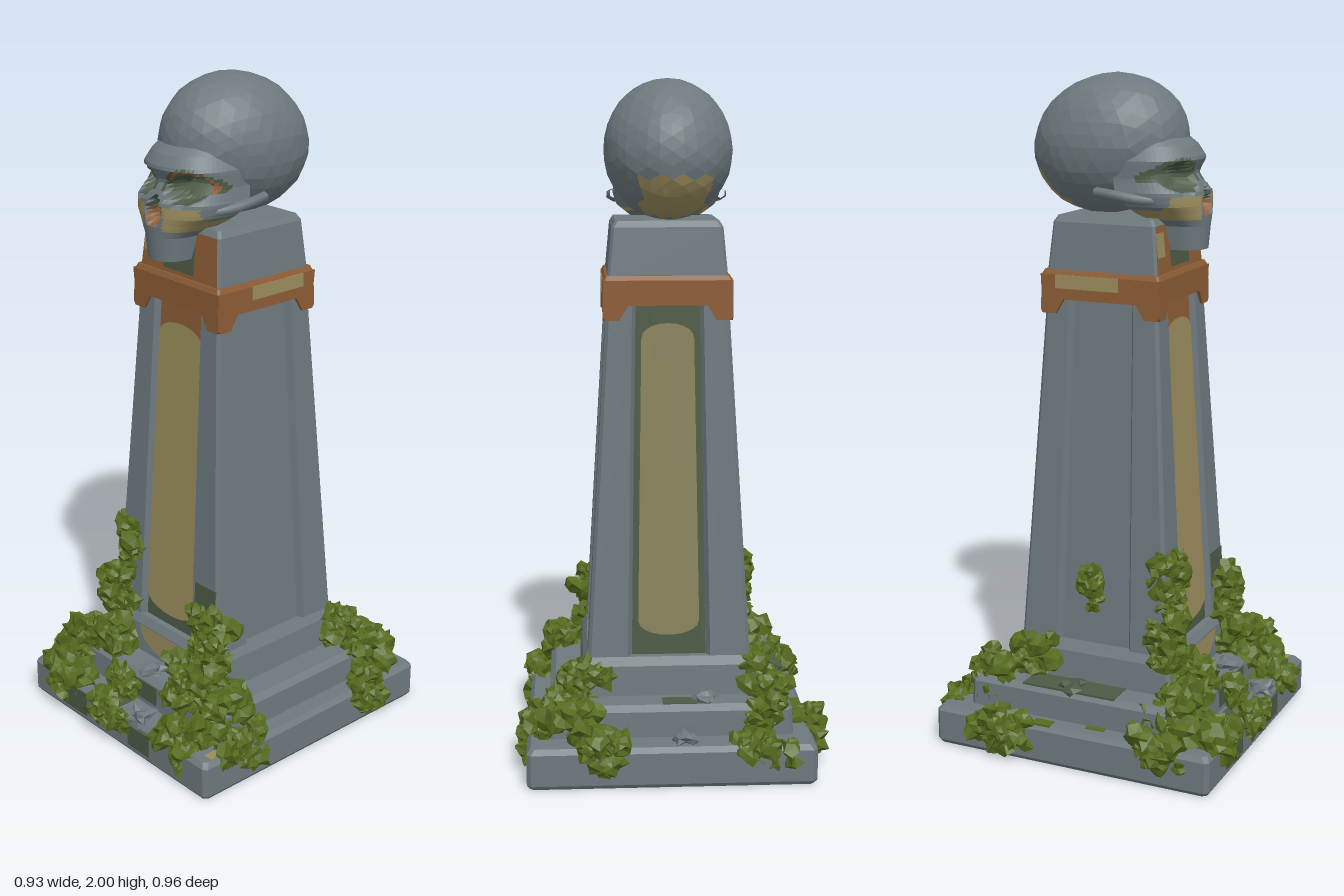
import * as THREE from 'three';
import { mergeGeometries } from 'three/addons/utils/BufferGeometryUtils.js';

const material = (name, color) => {
  const m = new THREE.MeshStandardMaterial({ color });
  m.name = name;
  return m;
};

// Repeatable noise: by position, and as a running sequence
const hash = (x, y, z) => {
  const s = Math.sin(Math.round(x * 1000) * 12.9 + Math.round(y * 1000) * 78.2 + Math.round(z * 1000) * 37.7) * 43758.5;
  return s - Math.floor(s);
};
let seed = 7;
const rnd = () => (seed = (seed * 16807) % 2147483647) / 2147483647;

// Linear look-up in a short table of [key, value]
function lookup(table, k) {
  for (let i = 1; i < table.length; i++) {
    const [a, va] = table[i - 1], [b, vb] = table[i];
    if (k <= b) return va + (vb - va) * Math.max(0, (k - a) / (b - a));
  }
  return table[table.length - 1][1];
}

// Skin closed rings, bottom to top, with flat facets
function loft(rings) {
  const pos = [], n = rings[0].length;
  for (let i = 0; i + 1 < rings.length; i++) for (let j = 0; j < n; j++) {
    const k = (j + 1) % n;
    const a = rings[i][j], b = rings[i][k], c = rings[i + 1][k], d = rings[i + 1][j];
    pos.push(...a, ...b, ...c, ...a, ...c, ...d);
  }
  const g = new THREE.BufferGeometry();
  g.setAttribute('position', new THREE.Float32BufferAttribute(pos, 3));
  g.computeVertexNormals();
  return g;
}
const capRing = (ring, z = 0) => ring.map((p) => [0, p[1], z]);

// Chamfered rectangular block from sections [y, halfX, halfZ]
function block(sections, c) {
  const rings = sections.map(([y, x, z = x]) => [[-x, z - c], [c - x, z], [x - c, z], [x, z - c],
    [x, c - z], [x - c, -z], [c - x, -z], [-x, c - z]].map(([px, pz]) => [px, y, pz]));
  return loft([capRing(rings[0]), ...rings, capRing(rings[rings.length - 1])]);
}

// Sort facets into material groups by their centre
function paint(geo, pick, count) {
  const p = geo.attributes.position.array, bins = Array.from({ length: count }, () => []);
  for (let i = 0; i < p.length; i += 9) {
    const mid = [0, 1, 2].map((k) => (p[i + k] + p[i + 3 + k] + p[i + 6 + k]) / 3);
    bins[pick(...mid)].push(...p.slice(i, i + 9));
  }
  const out = new THREE.BufferGeometry();
  out.setAttribute('position', new THREE.Float32BufferAttribute(bins.flat(), 3));
  let start = 0;
  bins.forEach((b, i) => { out.addGroup(start, b.length / 3, i); start += b.length / 3; });
  out.computeVertexNormals();
  return out;
}

// Jagged lump
function lump(x, y, z, r, flat = 1) {
  const g = new THREE.IcosahedronGeometry(1, 1), p = g.attributes.position, s = rnd() * 9;
  for (let i = 0; i < p.count; i++) {
    const k = r * (0.5 + 0.95 * hash(p.getX(i) + s, p.getY(i), p.getZ(i)));
    p.setXYZ(i, THREE.MathUtils.clamp(x + p.getX(i) * k, -0.465, 0.465), Math.max(0.01, y + p.getY(i) * k * flat),
      THREE.MathUtils.clamp(z + p.getZ(i) * k, -0.485, 0.475));
  }
  g.computeVertexNormals();
  return g;
}

export function createModel() {
  seed = 7;
  const stone = material('stone', 0x6d797e), tan = material('tan', 0x9b8d5d), rust = material('rust', 0x8d5d36);
  const stain = material('stain', 0x4c5a45), moss = material('moss', 0x566a1e), dullTan = material('dullTan', 0x87825a);
  const paints = [stone, tan, rust, stain];
  const model = new THREE.Group(), pedestal = new THREE.Group();
  pedestal.name = 'pedestal';
  pedestal.position.set(0.007, 0, -0.008);
  model.add(pedestal);
  const add = (parent, name, geo, mat) => {
    const m = new THREE.Mesh(geo, mat);
    m.name = name;
    parent.add(m);
    return m;
  };

  // Stepped base
  add(pedestal, 'baseSlab', block([[0, 0.41, 0.437], [0.012, 0.418, 0.445], [0.105, 0.418, 0.445], [0.12, 0.406, 0.433]], 0.012), stone);
  add(pedestal, 'middleStep', block([[0.11, 0.357], [0.195, 0.354], [0.212, 0.337]], 0.012), stone);
  add(pedestal, 'plinth', block([[0.2, 0.262], [0.3, 0.254], [0.325, 0.24]], 0.012), stone);

  // Tapered shaft with a recess on each face
  const outer = (y) => 0.24 - 0.06 * (y - 0.32);
  const shaftRing = (y) => {
    const o = outer(y), p = 0.122 - 0.018 * (y - 0.32), c = 0.01, r = o - 0.02;
    const face = [[c - o, o], [-p, o], [0.012 - p, r], [p - 0.012, r], [p, o], [o - c, o]];
    return [0, 1, 2, 3].flatMap((k) => face.map(([x, z]) => {
      for (let i = 0; i < k; i++) [x, z] = [z, -x];
      return [x, y, z];
    }));
  };
  add(pedestal, 'shaft', loft([shaftRing(0.31), shaftRing(1.4)]), stone);

  // Painted panels lying in the front and back recesses
  const panel = (parent, name, mat, y0, y1, half, lift, round) => {
    const s = new THREE.Shape(), top = half - 0.014 * (y1 - y0);
    s.moveTo(-half, y0 + round).bezierCurveTo(-half, y0, half, y0, half, y0 + round);
    s.lineTo(top, y1 - round).bezierCurveTo(top, y1, -top, y1, -top, y1 - round);
    const g = new THREE.ShapeGeometry(s, 10), p = g.attributes.position;
    for (let i = 0; i < p.count; i++) p.setZ(i, outer(p.getY(i)) - 0.02 + lift);
    g.computeVertexNormals();
    add(parent, name, g, mat);
  };
  ['front', 'back'].forEach((side, i) => {
    const face = new THREE.Group();
    face.name = side + 'Panel';
    face.rotation.y = i * Math.PI;
    pedestal.add(face);
    panel(face, 'panelBorder', stain, 0.326, 1.36, 0.109, 0.002, 0.001);
    if (i === 0) panel(face, 'panelTop', rust, 1.2, 1.36, 0.093, 0.004, 0.001);
    panel(face, 'panelField', i ? dullTan : tan, i ? 0.37 : 0.345, i ? 1.32 : 1.31, i ? 0.09 : 0.107, 0.006, 0.06);
  });
  const arch = add(pedestal, 'plinthPatch', new THREE.CircleGeometry(0.1, 16, Math.PI, Math.PI), tan);
  arch.scale.y = 0.75;
  arch.position.set(0, 0.302, 0.2605);
  const postStain = add(pedestal, 'postStain', new THREE.BoxGeometry(0.09, 0.1, 0.004), stain);
  postStain.position.set(0.175, 0.48, outer(0.48));
  postStain.rotation.x = -0.06;

  // Collar: one bracket per side with feet at the corners
  const bracket = new THREE.Shape([[-0.188, 1.325], [-0.18, 1.315], [-0.14, 1.315], [-0.115, 1.358], [0.115, 1.358], [0.14, 1.315],
    [0.18, 1.315], [0.188, 1.325], [0.184, 1.39], [0.188, 1.43], [-0.188, 1.43], [-0.184, 1.39]].map((q) => new THREE.Vector2(...q)));
  for (let i = 0; i < 4; i++) {
    const b = add(pedestal, 'collarSide', new THREE.ExtrudeGeometry(bracket, { depth: 0.035, bevelEnabled: false }).translate(0, 0, 0.153), rust);
    b.rotation.y = i * Math.PI / 2;
    if (i % 2) add(b, 'collarPatch', new THREE.BoxGeometry(0.2, 0.04, 0.004).translate(i === 1 ? 0.04 : -0.04, 1.41, 0.188), tan);
  }
  add(pedestal, 'collarTop', block([[1.425, 0.188], [1.443, 0.18]], 0.006), rust);

  // Cap block with a painted front
  add(pedestal, 'cap', paint(block([[1.43, 0.175], [1.58, 0.161], [1.598, 0.15]], 0.008),
    (x, y, z) => (z > 0.15 && Math.abs(x) < 0.12 && y < 1.58 ? 2 : 0), 4), paints);
  const capPatch = (name, mat, x, y, w, h) => {
    const m = add(pedestal, name, new THREE.BoxGeometry(w, h, 0.004), mat);
    m.position.set(x, y, 0.175 - 0.093 * (y - 1.43));
    m.rotation.x = -0.093;
  };
  capPatch('capStain', stain, 0, 1.495, 0.13, 0.08);
  capPatch('capTan', tan, -0.13, 1.525, 0.05, 0.07);

  // Cranium
  const dome = new THREE.IcosahedronGeometry(1, 5), dp = dome.attributes.position;
  for (let i = 0; i < dp.count; i++) {
    const x = dp.getX(i), y = dp.getY(i), z = dp.getZ(i), k = 0.99 + 0.016 * hash(x, y, z);
    dp.setXYZ(i, x * k * 0.188 * (1 - 0.04 * z), Math.max(1.592, 1.797 + y * k * 0.203), -0.03 - 0.02 * (1 - y) + z * k * 0.235);
  }
  const skull = new THREE.Group();
  skull.name = 'skull';
  model.add(skull);
  add(skull, 'cranium', paint(dome, (x, y, z) => (z < -0.13 && y < 1.72 && Math.abs(x + 0.01) < 0.1 ? 1 : 0), 4), paints);

  // Face: lofted rows, dented for sockets and nose
  const width = [[1.505, 0.064], [1.575, 0.075], [1.6, 0.105], [1.635, 0.148], [1.67, 0.16], [1.71, 0.152], [1.76, 0.154], [1.84, 0.11]];
  const front = [[1.505, 0.25], [1.6, 0.258], [1.67, 0.252], [1.69, 0.24], [1.725, 0.215], [1.765, 0.234], [1.8, 0.212], [1.84, 0.16]];
  const back = [[1.505, 0.165], [1.575, 0.15], [1.61, 0.08], [1.68, 0.03], [1.84, 0]];
  const eye = (x, y) => 1 - ((Math.abs(x) - 0.083) / 0.052) ** 2 - ((y - 1.712) / 0.043) ** 2;
  const nose = (x, y) => 1 - (x / (0.016 + 0.3 * Math.max(0, 1.69 - y))) ** 2 - ((y - 1.648) / 0.042) ** 2;
  const rows = [];
  for (let i = 0; i <= 34; i++) {
    const y = 1.505 + (0.335 * i) / 34, w = lookup(width, y), f = lookup(front, y), b = lookup(back, y);
    rows.push(Array.from({ length: 41 }, (_, j) => {
      const a = (j / 20 - 1) * Math.PI / 2, x = w * Math.sin(a);
      let z = b + (f - b) * Math.max(0, Math.cos(a)) ** 0.6;
      if (Math.abs(a) < 1.4) {
        z -= 0.06 * Math.min(1, Math.max(0, eye(x, y) * 2)) + 0.04 * Math.min(1, Math.max(0, nose(x, y) * 2));
      }
      return [x, y, z];
    }));
  }
  add(skull, 'face', paint(loft([capRing(rows[0], 0.2), ...rows]), (x, y, z) => {
    if (z < 0.07) return 0;
    if (eye(x, y) > 0.1) return 3;
    if (nose(x, y) > 0) return y > 1.65 ? 3 : 2;
    if (x > 0.04 && eye(x, y) > -0.4 && y > 1.7) return 2;
    if (y > 1.595 && y < 1.665 && Math.abs(x) > 0.04 && Math.abs(x) < 0.13) return 1;
    return eye(x, y) > -0.7 && y > 1.7 && y < 1.775 ? 3 : 0;
  }, 4), paints);
  // Cheek arches running back to the temples
  for (const s of [-1, 1]) {
    const arc = new THREE.CatmullRomCurve3([[0.12, 1.65, 0.17], [0.155, 1.655, 0.1], [0.165, 1.665, 0.03], [0.155, 1.67, -0.03]]
      .map(([x, y, z]) => new THREE.Vector3(x * s, y, z)));
    add(skull, 'cheekArch', new THREE.TubeGeometry(arc, 8, 0.015, 6), stone);
  }

  // Moss heaps: centre and spread; wider heaps get more and larger lumps
  const heap = ([x, y, z, sx, sy, sz]) => {
    const size = sx + sy + sz;
    const lumps = Array.from({ length: Math.round(140 * size - 6) }, () => {
      const d = new THREE.Vector3(rnd() - 0.5, rnd() - 0.5, rnd() - 0.5).normalize().multiplyScalar(0.35 + 0.65 * rnd());
      return lump(x + d.x * sx, y + d.y * sy, z + d.z * sz, (0.02 + 0.065 * size) * (0.7 + 0.5 * rnd()));
    });
    add(model, 'mossHeap', mergeGeometries(lumps), moss);
  };
  // Front corners, alike on both sides
  for (const s of [-1, 1]) {
    [[0.365, 0.1, 0.265, 0.07, 0.07, 0.11], [0.265, 0.1, 0.38, 0.1, 0.07, 0.07], [0.295, 0.185, 0.285, 0.09, 0.08, 0.1],
      [0.2, 0.24, 0.29, 0.09, 0.08, 0.07], [0.21, 0.375, 0.23, 0.07, 0.11, 0.05]]
      .forEach(([x, ...rest]) => heap([x * s, ...rest]));
  }
  // Climbing growth, back corners and front edge
  [[-0.175, 0.56, 0.21, 0.06, 0.1, 0.04], [-0.235, 0.5, -0.01, 0.008, 0.08, 0.025],
    [0.4, 0.1, -0.25, 0.055, 0.07, 0.08], [0.21, 0.11, -0.42, 0.09, 0.08, 0.05],
    [0.31, 0.16, -0.31, 0.1, 0.08, 0.08], [0.26, 0.26, -0.25, 0.07, 0.07, 0.06],
    [-0.4, 0.09, -0.23, 0.05, 0.07, 0.08], [-0.26, 0.1, -0.42, 0.08, 0.08, 0.05],
    [-0.27, 0.2, -0.31, 0.08, 0.08, 0.08], [-0.25, 0.28, -0.2, 0.04, 0.06, 0.08],
    [-0.02, 0.1, 0.43, 0.1, 0.04, 0.03], [-0.02, 0.17, 0.37, 0.08, 0.05, 0.02]].forEach(heap);

  // Loose stones and damp patches on the steps
  [[-0.03, 0.13, -0.4, 0.035], [0.1, 0.13, 0.41, 0.045], [-0.1, 0.215, -0.31, 0.035], [0.04, 0.215, 0.31, 0.04]]
    .forEach(([x, y, z, r]) => add(model, 'looseStone', lump(x, y, z, r, 0.6), stone));
  add(model, 'dampStone', lump(-0.305, 0.215, -0.045, 0.045, 0.5), stain);
  [['dampStep', stain, -0.295, 0.212, -0.04, 0.09, 0.006, 0.3], ['dampStep', stain, -0.04, 0.212, -0.32, 0.14, 0.006, 0.05],
    ['dampFront', stain, -0.2, 0.065, 0.437, 0.13, 0.08, 0.006], ['dampFront', stain, 0.12, 0.06, 0.437, 0.1, 0.07, 0.006],
    ['dampRiser', stain, 0, 0.165, 0.348, 0.2, 0.06, 0.006], ['dampTread', stain, -0.05, 0.119, 0.39, 0.12, 0.006, 0.06],
    ['mossPatch', moss, -0.385, 0.119, -0.1, 0.035, 0.006, 0.06], ['mossPatch', moss, -0.355, 0.119, 0.06, 0.03, 0.006, 0.06],
    ['tanPatch', tan, 0.395, 0.119, 0.36, 0.03, 0.006, 0.08]].forEach(([name, mat, x, y, z, w, h, d]) => {
    add(model, name, new THREE.BoxGeometry(w, h, d), mat).position.set(x, y, z);
  });
  return model;
}
